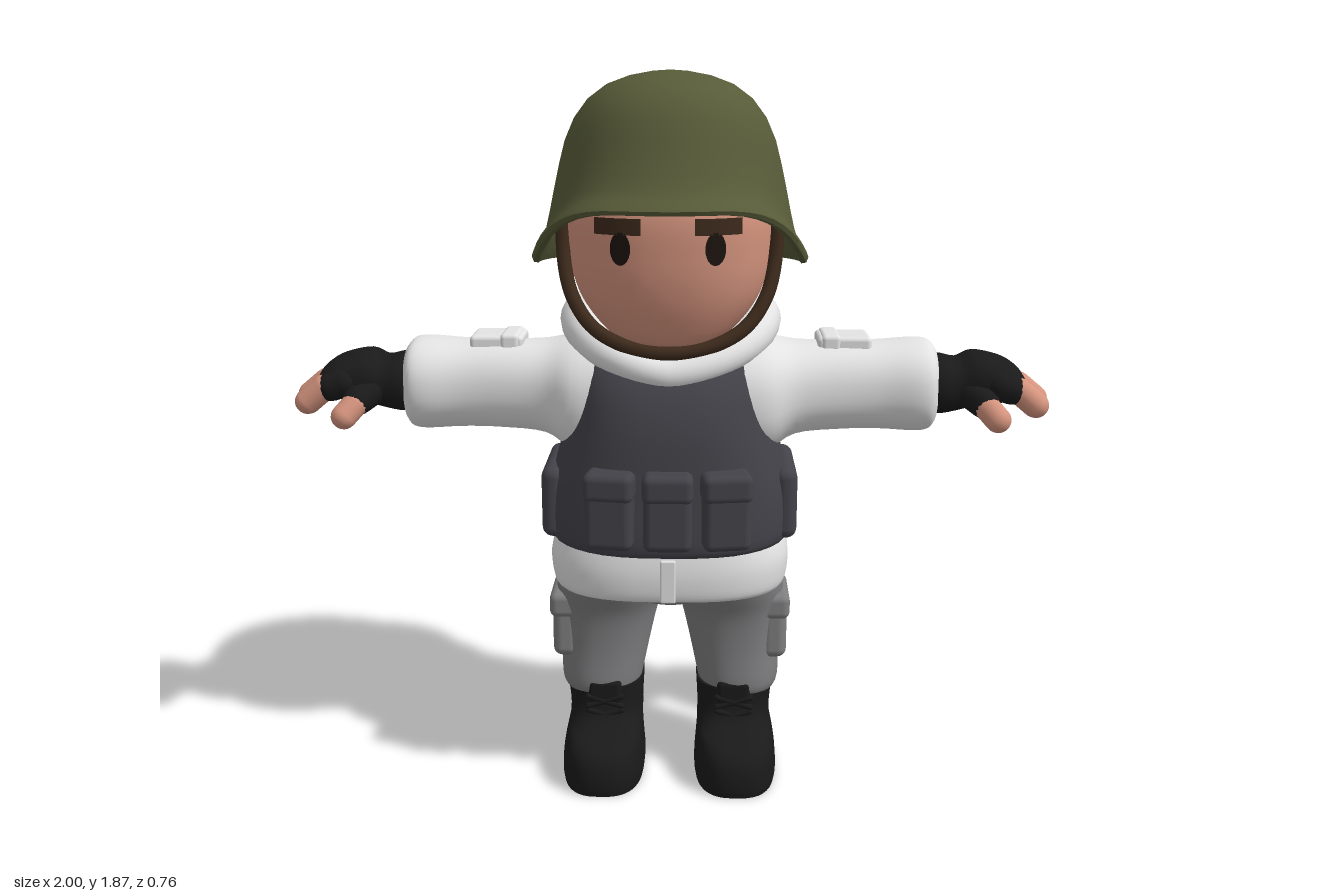
import * as THREE from 'three';
import { toCreasedNormals } from 'three/addons/utils/BufferGeometryUtils.js';
import { RoundedBoxGeometry } from 'three/addons/geometries/RoundedBoxGeometry.js';

const mat = (name, color) => {
  const m = new THREE.MeshStandardMaterial({ color });
  m.name = name;
  return m;
};

// Triangle grid over rows of points; closed rings, optional end caps
function skin(rings, { cap = true, loop = false } = {}) {
  const n = rings[0].length, pos = rings.flat(2), idx = [];
  const last = loop ? rings.length : rings.length - 1;
  for (let i = 0; i < last; i++) for (let j = 0; j < n; j++) {
    const k = (j + 1) % n, i2 = (i + 1) % rings.length;
    const a = i * n + j, b = i * n + k, c = i2 * n + j, d = i2 * n + k;
    idx.push(a, c, b, b, c, d);
  }
  if (cap) [0, rings.length - 1].forEach((r, e) => {
    const m = [0, 1, 2].map(q => rings[r].reduce((s, p) => s + p[q], 0) / n);
    const ci = pos.length / 3;
    pos.push(...m);
    for (let j = 0; j < n; j++) {
      const a = r * n + j, b = r * n + (j + 1) % n;
      e ? idx.push(ci, b, a) : idx.push(ci, a, b);
    }
  });
  const g = new THREE.BufferGeometry();
  g.setAttribute('position', new THREE.Float32BufferAttribute(pos, 3));
  g.setIndex(idx);
  return toCreasedNormals(g, 0.9);
}

// Smooth loft of superellipses; rows are [y, cx, cz, rx, rz] or, along x, [x, cy, cz, ry, rz]
function loft(axis, rows, power = 2.3, seg = 40) {
  const fine = [], at = i => rows[Math.min(Math.max(i, 0), rows.length - 1)];
  for (let i = 0; i < rows.length - 1; i++) for (let s = 0; s < 4; s++) {
    const t = s / 4;
    fine.push(rows[i].map((_, q) => {
      const [a, b, c, d] = [-1, 0, 1, 2].map(o => at(i + o)[q]);
      return b + 0.5 * t * (c - a + t * (2 * a - 5 * b + 4 * c - d + t * (3 * (b - c) + d - a)));
    }));
  }
  fine.push(rows[rows.length - 1]);
  const pw = v => Math.sign(v) * Math.abs(v) ** (2 / power);
  return skin(fine.map(([l, c1, c2, r1, r2]) => Array.from({ length: seg }, (_, j) => {
    const t = j / seg * Math.PI * 2, c = pw(Math.cos(t)), s = pw(Math.sin(t));
    return axis === 'y' ? [c1 + r1 * c, l, c2 + r2 * s] : [l, c1 + r1 * s, c2 + r2 * c];
  })));
}

// Capsule between two points
function capsule(a, b, r) {
  const A = new THREE.Vector3(...a), B = new THREE.Vector3(...b), d = B.clone().sub(A);
  const g = new THREE.CapsuleGeometry(r, d.length(), 6, 14);
  g.applyQuaternion(new THREE.Quaternion().setFromUnitVectors(new THREE.Vector3(0, 1, 0), d.normalize()));
  return g.translate(...A.add(B).multiplyScalar(0.5).toArray());
}

const box = (w, h, d, x, y, z, r = 0.02) => new RoundedBoxGeometry(w, h, d, 3, r).translate(x, y, z);

// Copy reflected in x, with corner order reversed
function mirrored(geo) {
  const g = geo.index ? geo.toNonIndexed() : geo.clone();
  for (const name of ['position', 'normal']) {
    const at = g.attributes[name];
    for (let i = 0; i < at.count; i += 3) {
      const p = [0, 1, 2].map(k => [-at.getX(i + k), at.getY(i + k), at.getZ(i + k)]);
      [0, 2, 1].forEach((src, k) => at.setXYZ(i + k, ...p[src]));
    }
  }
  return g;
}

export function createModel() {
  const root = new THREE.Group();
  const olive = mat('olive', 0x575b38), white = mat('white', 0xe4e4e4), flesh = mat('flesh', 0xd6957f);
  const charcoal = mat('charcoal', 0x434249), grey = mat('grey', 0x7e7e80), black = mat('black', 0x1a1a1a);
  const brown = mat('brown', 0x3d2a1c), dark = mat('dark', 0x1c1410);
  const add = (name, geo, m) => {
    const mesh = new THREE.Mesh(geo, m);
    mesh.name = name;
    root.add(mesh);
  };
  const pair = (name, geo, m) => {
    add('left ' + name, geo, m);
    add('right ' + name, mirrored(geo), m);
  };

  // Helmet: profile of [radius, height] fractions above a rim that rises at the front
  const profile = [[0.3, 0.86], [0.7, 0.6], [0.83, 0.2], [0.9, 0.03], [0.95, -0.025], [0.985, -0.02], [1, 0.01],
    [0.985, 0.04], [0.935, 0.08], [0.9, 0.15], [0.87, 0.25], [0.835, 0.38], [0.8, 0.5], [0.755, 0.63],
    [0.685, 0.75], [0.585, 0.85], [0.45, 0.925], [0.29, 0.97], [0.13, 0.993], [0.002, 1]];
  add('helmet', skin(profile.map(([u, s]) => Array.from({ length: 56 }, (_, j) => {
    const t = j / 56 * Math.PI * 2, c = Math.cos(t), f = Math.sin(t);
    const rim = 1.405 + (f > 0 ? 0.147 * THREE.MathUtils.smoothstep(f, 0.05, 0.95) : 0.02 * f);
    return [0.355 * u * c, rim + (1.873 - rim) * s, 0.378 * u * f - 0.1 * Math.max(0, s * (1 - s))];
  }))), olive);

  // Head, ears, hair and neck
  add('head', loft('y', [[1.19, 0, 0.07, 0.06, 0.07], [1.21, 0, 0.055, 0.13, 0.13], [1.26, 0, 0.025, 0.19, 0.19],
    [1.33, 0, 0.01, 0.235, 0.23], [1.42, 0, 0, 0.257, 0.255], [1.55, 0, 0, 0.258, 0.255], [1.66, 0, -0.01, 0.2, 0.2]]), flesh);
  add('neck', new THREE.CylinderGeometry(0.14, 0.14, 0.2, 24).translate(0, 1.2, -0.02), flesh);
  pair('ear', new THREE.SphereGeometry(1, 16, 12).scale(0.02, 0.05, 0.035).translate(0.25, 1.4, -0.03), flesh);
  add('hair', loft('y', [[1.29, 0, -0.09, 0.2, 0.14], [1.34, 0, -0.09, 0.245, 0.165], [1.44, 0, -0.09, 0.255, 0.172],
    [1.6, 0, -0.09, 0.24, 0.16]]), brown);

  // Eyes and brows: thin plates bent onto the face
  const onFace = g => {
    const p = g.attributes.position;
    for (let i = 0; i < p.count; i++)
      p.setZ(i, 0.255 * (1 - (Math.abs(p.getX(i)) / 0.258) ** 2.3) ** (1 / 2.3) + 0.009);
    g.computeVertexNormals();
    return g;
  };
  pair('eye', onFace(new THREE.CircleGeometry(1, 24).scale(0.025, 0.04, 1).translate(0.115, 1.455, 0)), dark);
  pair('brow', onFace(new THREE.PlaneGeometry(0.115, 0.04, 16, 1).translate(0.122, 1.508, 0)), brown);

  // Chin strap
  const half = [[0.268, 1.54, 0.06], [0.268, 1.42, 0.075], [0.244, 1.32, 0.11], [0.19, 1.245, 0.14], [0.1, 1.2, 0.165]];
  const strap = [...half, [0, 1.187, 0.175], ...half.slice().reverse().map(([x, y, z]) => [-x, y, z])];
  add('chin strap', new THREE.TubeGeometry(new THREE.CatmullRomCurve3(strap.map(p => new THREE.Vector3(...p))),
    64, 0.018, 10), brown);

  // Hood: ring that is low and thin in front, full behind
  add('hood', skin(Array.from({ length: 56 }, (_, i) => {
    const u = i / 56 * Math.PI * 2, f = (1 - Math.sin(u)) / 2, side = Math.min(1, 2 * f), back = Math.max(0, 2 * f - 1);
    const yc = 1.13 + 0.11 * side ** 0.7 - 0.03 * back;
    const rv = 0.04 + 0.028 * side + 0.042 * back, rh = 0.04 + 0.03 * side + 0.035 * back;
    return Array.from({ length: 20 }, (_, j) => {
      const v = -j / 20 * Math.PI * 2, o = rh * Math.cos(v);
      return [(0.22 + o) * Math.cos(u), yc + rv * Math.sin(v), -0.03 + (0.2 + o) * Math.sin(u)];
    });
  }), { cap: false, loop: true }), white);

  // Vest with front pouches and side pads
  add('vest', loft('y', [[0.67, 0, -0.01, 0.295, 0.255], [0.69, 0, -0.01, 0.318, 0.275], [0.8, 0, -0.012, 0.32, 0.272],
    [0.9, 0, -0.015, 0.297, 0.27], [1, 0, -0.02, 0.268, 0.265], [1.09, 0, -0.03, 0.258, 0.245],
    [1.16, 0, -0.03, 0.25, 0.19], [1.21, 0, -0.03, 0.22, 0.13]], 2.6), charcoal);
  for (const s of [-1, 0, 1]) {
    const place = g => g.rotateY(s * 0.15).translate(s * 0.106, 0, s ? -0.008 : 0);
    add('pouch', place(box(0.122, 0.195, 0.09, 0, 0.8, 0.26)), charcoal);
    add('pouch flap', place(box(0.128, 0.075, 0.098, 0, 0.865, 0.261)), charcoal);
  }
  pair('side pad', box(0.06, 0.19, 0.29, 0.304, 0.778, -0.01, 0.028), charcoal);

  // Jacket hem and sleeves
  add('jacket hem', loft('y', [[0.545, 0, 0, 0.285, 0.225], [0.555, 0, 0, 0.308, 0.248], [0.6, 0, 0, 0.317, 0.256],
    [0.65, 0, 0, 0.315, 0.254], [0.72, 0, 0, 0.29, 0.24]], 2.8), white);
  add('front placket', box(0.04, 0.115, 0.012, 0, 0.61, 0.254, 0.005), white);
  pair('sleeve', loft('x', [[0.15, 1.045, -0.03, 0.17, 0.19], [0.25, 1.045, -0.03, 0.155, 0.182],
    [0.33, 1.06, -0.035, 0.124, 0.14], [0.45, 1.065, -0.035, 0.117, 0.12], [0.55, 1.065, -0.045, 0.117, 0.125],
    [0.64, 1.065, -0.05, 0.122, 0.14], [0.68, 1.065, -0.05, 0.118, 0.133], [0.697, 1.065, -0.05, 0.1, 0.11]]), white);
  pair('sleeve pocket', box(0.14, 0.04, 0.13, 0.455, 1.18, -0.045, 0.012), white);
  pair('sleeve pocket flap', box(0.05, 0.045, 0.14, 0.42, 1.183, -0.045, 0.012), white);

  // Gloves, fingers and thumbs
  pair('glove', loft('x', [[0.67, 1.07, -0.035, 0.07, 0.095], [0.71, 1.07, -0.035, 0.078, 0.1],
    [0.755, 1.07, -0.035, 0.07, 0.095], [0.8, 1.085, -0.035, 0.072, 0.105], [0.87, 1.083, -0.035, 0.06, 0.11],
    [0.91, 1.075, -0.035, 0.045, 0.1], [0.925, 1.07, -0.035, 0.03, 0.085]]), black);
  [[-0.118, -0.02], [-0.035, 0], [0.05, -0.015]].forEach(([z, dx]) => {
    pair('glove finger', capsule([0.87 + dx, 1.08, z], [0.902 + dx, 1.07, z], 0.039), black);
    pair('finger', capsule([0.92 + dx, 1.068, z], [0.966 + dx, 1.03, z], 0.034), flesh);
  });
  pair('glove thumb', capsule([0.78, 1.06, 0.03], [0.815, 1.038, 0.067], 0.04), black);
  pair('thumb', capsule([0.82, 1.03, 0.08], [0.845, 1.002, 0.1], 0.034), flesh);

  // Trousers with cargo pockets
  add('pelvis', loft('y', [[0.47, 0, -0.02, 0.03, 0.08], [0.5, 0, -0.02, 0.15, 0.14], [0.56, 0, -0.01, 0.26, 0.18],
    [0.64, 0, 0, 0.28, 0.22]]), grey);
  pair('trouser leg', loft('y', [[0.225, 0.185, -0.012, 0.1, 0.118], [0.255, 0.187, -0.012, 0.111, 0.128],
    [0.35, 0.178, -0.018, 0.122, 0.13], [0.45, 0.17, -0.018, 0.137, 0.138], [0.52, 0.16, -0.018, 0.15, 0.165],
    [0.6, 0.15, -0.01, 0.148, 0.19]]), grey);
  pair('cargo pocket', box(0.07, 0.18, 0.18, 0.282, 0.415, -0.005, 0.025), grey);
  pair('cargo pocket flap', box(0.08, 0.07, 0.195, 0.284, 0.475, -0.005, 0.02), grey);

  // Boots with tongue and crossed laces
  pair('boot', loft('y', [[0, 0.18, 0.062, 0.108, 0.192], [0.03, 0.18, 0.062, 0.112, 0.197],
    [0.085, 0.18, 0.059, 0.108, 0.192], [0.12, 0.178, 0.045, 0.103, 0.175], [0.145, 0.176, 0.01, 0.1, 0.142],
    [0.18, 0.176, -0.008, 0.1, 0.124], [0.25, 0.178, -0.012, 0.106, 0.122]], 2.7), black);
  pair('boot tongue', box(0.09, 0.07, 0.03, 0.175, 0.235, 0.102, 0.014), black);
  for (const y of [0.17, 0.21]) for (const s of [-1, 1])
    pair('lace', capsule([0.13, y - s * 0.014, 0.112], [0.22, y + s * 0.014, 0.112], 0.008), black);

  return root;
}
